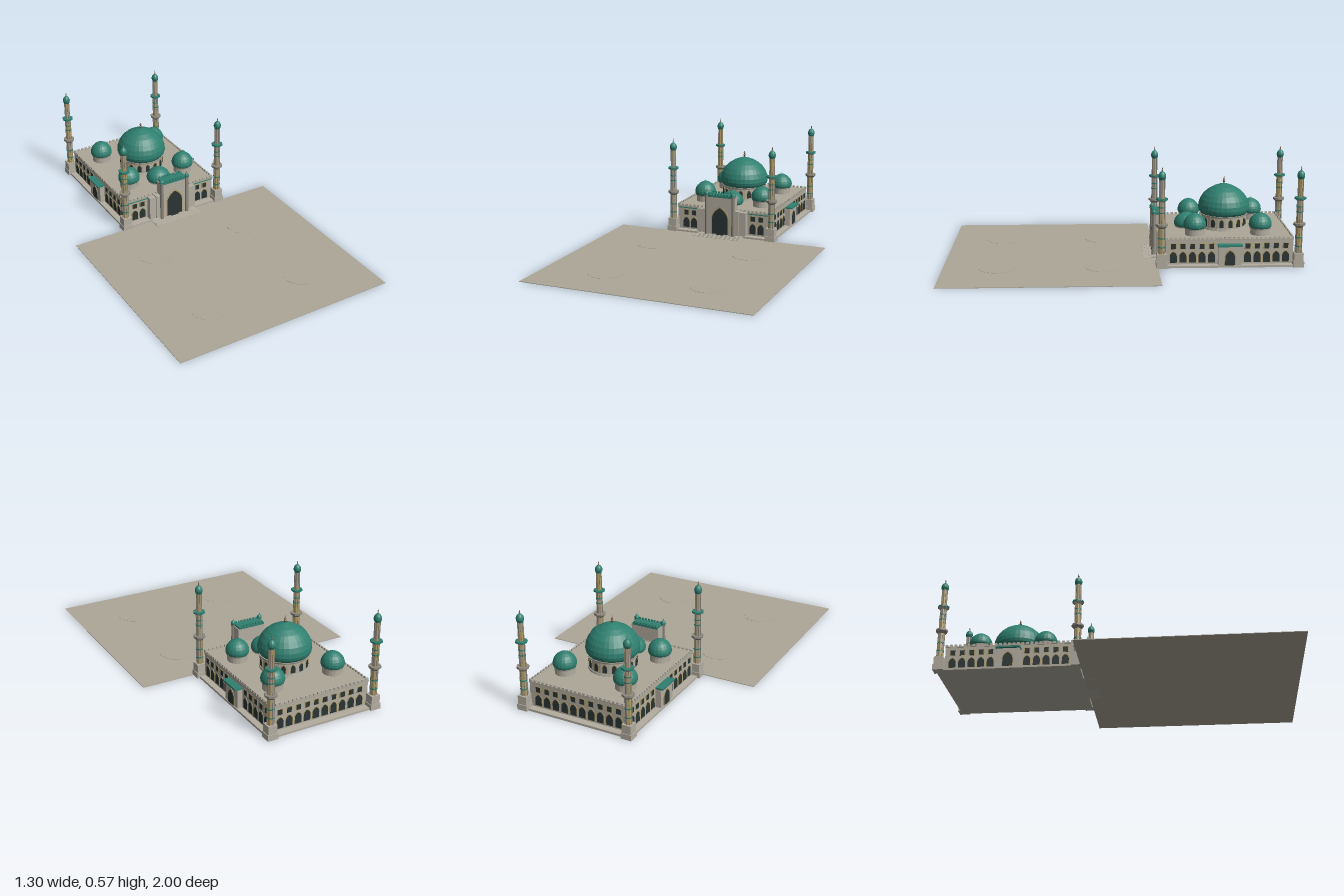
import * as THREE from 'three';
import { mergeGeometries } from 'three/addons/utils/BufferGeometryUtils.js';

const mat = (name, color) => {
  const m = new THREE.MeshStandardMaterial({ color });
  m.name = name;
  return m;
};

export function createModel() {
  const model = new THREE.Group();
  const paving = mat('paving stone', 0xaca798);
  const stone = mat('wall stone', 0xb4aea1);
  const grey = mat('grey stone', 0x8f8a80);
  const green = mat('green tile', 0x2f8070);
  const gold = mat('sandy gold', 0xb39e66);
  const dark = mat('dark glass', 0x2b3533);
  const bronze = mat('bronze', 0x7d5f45);

  const MID = -0.59; // z of the building centre
  const add = (name, geo, material, x = 0, y = 0, z = 0, parent = model) => {
    const m = new THREE.Mesh(geo, material);
    m.name = name;
    m.position.set(x, y, z);
    parent.add(m);
    return m;
  };
  // box given by its base height
  const box = (name, material, w, h, d, x, y, z, parent) =>
    add(name, new THREE.BoxGeometry(w, h, d), material, x, y + h / 2, z, parent);
  const cyl = (name, material, r1, r2, y0, y1, n, x, z, parent) =>
    add(name, facet(new THREE.CylinderGeometry(r1, r2, y1 - y0, n)), material, x, (y0 + y1) / 2, z, parent);
  function facet(g) {
    const f = g.toNonIndexed();
    f.computeVertexNormals();
    return f;
  }
  const lathe = (pts, n) => facet(new THREE.LatheGeometry(pts.map(p => new THREE.Vector2(p[0], p[1])), n));

  // onion dome of radius r and height h, plus a bronze finial
  function dome(name, x, y, z, r, h, n, finial, parent) {
    const rel = [[0.9, 0], [0.97, 0.08], [1, 0.18], [0.985, 0.32], [0.92, 0.48], [0.8, 0.64],
      [0.62, 0.78], [0.4, 0.89], [0.18, 0.96], [0, 1]];
    add(name, lathe(rel.map(p => [p[0] * r, p[1] * h]), n), green, x, y, z, parent);
    const f = finial;
    add(name + 'Finial', lathe([[f * 0.12, -f * 0.15], [f * 0.09, f * 0.1], [f * 0.2, f * 0.25], [f * 0.08, f * 0.4],
      [f * 0.14, f * 0.55], [f * 0.05, f * 0.7], [0, f]], 8), bronze, x, y + h, z, parent);
  }

  // pointed arch outline
  function archShape(w, h, spring) {
    const a = w / 2, s = h * spring, c = s + (h - s) * 0.65, shape = new THREE.Shape();
    shape.moveTo(-a, 0);
    shape.lineTo(a, 0);
    shape.lineTo(a, s);
    shape.quadraticCurveTo(a * 0.9, c, 0, h);
    shape.quadraticCurveTo(-a * 0.9, c, -a, s);
    shape.closePath();
    return shape;
  }
  const plate = (shape, depth) => new THREE.ExtrudeGeometry(shape, { depth, bevelEnabled: false, curveSegments: 5 });
  // arched opening: gold surround with a dark plate in front
  function arch(name, w, h, x, y, z, turn, frame = 0.004, spring = 0.6) {
    const g = new THREE.Group();
    g.name = name;
    g.position.set(x, y, z);
    g.rotation.y = turn;
    if (frame) add('surround', plate(archShape(w + frame * 2, h + frame * 1.5, spring), 0.002), gold, 0, 0, 0, g);
    add('opening', plate(archShape(w, h, spring), 0.0035), dark, 0, 0, 0, g);
    model.add(g);
  }

  // plaza with four low round platforms
  box('plaza', paving, 1.3, 0.003, 1.19, 0, 0, 0.405);
  for (const x of [-0.3, 0.3]) for (const z of [0.11, 0.7])
    cyl('plazaDisc', paving, 0.1, 0.1, 0.001, 0.0042, 32, x, z);

  // main hall
  box('plinth', stone, 0.66, 0.012, 0.79, 0, 0, MID);
  box('hallWalls', stone, 0.59, 0.143, 0.71, 0, 0.01, MID);
  box('roof', paving, 0.596, 0.006, 0.716, 0, 0.149, MID);

  // battlements round the roof edge
  const merlons = [];
  const merlon = (x, z, w, d) => merlons.push(new THREE.BoxGeometry(w, 0.012, d).translate(x, 0.16, z));
  for (let i = 0; i < 24; i++) for (const s of [-1, 1])
    merlon(-0.2875 + i * 0.025, MID + s * 0.354, 0.014, 0.007);
  for (let i = 0; i < 29; i++) for (const s of [-1, 1])
    merlon(s * 0.294, MID - 0.35 + i * 0.025, 0.007, 0.014);
  add('battlements', mergeGeometries(merlons), stone);

  // wall bays: an arch below and a framed window above
  function bay(x, z, turn) {
    arch('wallArch', 0.038, 0.062, x, 0.022, z, turn, 0.003);
    const g = new THREE.Group();
    g.name = 'upperWindow';
    g.position.set(x, 0.1, z);
    g.rotation.y = turn;
    box('windowFrame', gold, 0.034, 0.034, 0.004, 0, -0.002, 0, g);
    box('windowPane', dark, 0.026, 0.029, 0.007, 0, 0, 0, g);
    model.add(g);
  }
  for (let i = 0; i < 10; i++) bay((i - 4.5) * 0.054, MID - 0.355, Math.PI);
  for (const s of [-1, 1]) {
    for (const x of [0.19, 0.24]) bay(s * x, MID + 0.355, 0);
    for (const side of [-1, 1]) for (let i = 0; i < 5; i++)
      bay(side * 0.295, MID + s * (0.101 + i * 0.053), side * Math.PI / 2);
    box('frontFrieze', green, 0.14, 0.005, 0.005, s * 0.225, 0.14, MID + 0.355);

    // side porch with tiled canopy
    box('sidePorch', stone, 0.032, 0.112, 0.13, s * 0.309, 0.01, MID);
    box('sideCanopy', green, 0.045, 0.009, 0.136, s * 0.317, 0.12, MID);
    arch('sideDoor', 0.055, 0.082, s * 0.325, 0.013, MID, s * Math.PI / 2, 0.005, 0.55);
  }

  // front portal
  box('portalWings', stone, 0.31, 0.146, 0.04, 0, 0.008, -0.222);
  box('portalShoulders', stone, 0.23, 0.152, 0.05, 0, 0.008, -0.22);
  box('portalBlock', stone, 0.17, 0.232, 0.06, 0, 0.01, -0.211);
  box('portalRoof', green, 0.158, 0.012, 0.068, 0, 0.24, -0.209);
  for (let i = 0; i < 8; i++) for (const z of [-0.178, -0.24])
    box('portalMerlon', green, 0.01, 0.01, 0.005, (i - 3.5) * 0.019, 0.252, z);
  arch('mainDoor', 0.1, 0.16, 0, 0.016, -0.181, 0, 0.006, 0.58);
  box('doorSill', dark, 0.05, 0.012, 0.008, 0, 0.01, -0.178);
  for (const s of [-1, 1]) {
    cyl('portalColumn', grey, 0.011, 0.012, 0.004, 0.25, 8, s * 0.085, -0.181);
    cyl('columnCap', grey, 0.015, 0.013, 0.243, 0.251, 8, s * 0.085, -0.181);
    dome('columnDome', s * 0.085, 0.251, -0.181, 0.014, 0.024, 10, 0.014);
  }
  for (let i = 0; i < 4; i++)
    box('step', stone, 0.3 - i * 0.012, 0.005 + i * 0.002, 0.07 - i * 0.015, 0, 0, -0.16 - i * 0.0075);

  // central dome on its drum
  cyl('drum', stone, 0.13, 0.13, 0.15, 0.235, 32, 0, MID);
  cyl('drumRim', stone, 0.138, 0.134, 0.228, 0.238, 32, 0, MID);
  cyl('drumFoot', stone, 0.134, 0.136, 0.154, 0.166, 32, 0, MID);
  for (let i = 0; i < 16; i++) {
    const a = (i + 0.5) * Math.PI / 8;
    arch('drumWindow', 0.024, 0.046, Math.sin(a) * 0.129, 0.174, MID + Math.cos(a) * 0.129, a, 0.003);
  }
  dome('mainDome', 0, 0.237, MID, 0.147, 0.173, 32, 0.043);

  // small domes
  for (const [x, z] of [[-0.185, -0.775], [0.185, -0.775], [-0.185, -0.405], [0.185, -0.405]]) {
    cyl('smallDrum', stone, 0.055, 0.055, 0.15, 0.194, 20, x, z);
    cyl('smallDrumRim', stone, 0.06, 0.058, 0.187, 0.195, 20, x, z);
    dome('smallDome', x, 0.194, z, 0.065, 0.086, 20, 0.006);
  }
  cyl('frontDrum', stone, 0.066, 0.066, 0.15, 0.162, 20, 0, -0.375);
  dome('frontDome', 0, 0.16, -0.375, 0.072, 0.082, 20, 0.006);

  // corner minarets
  function minaret(x, z) {
    const g = new THREE.Group();
    g.name = 'minaret';
    g.position.set(x, 0, z);
    model.add(g);
    const ring = (name, m, r, y0, y1, r2 = r) => cyl(name, m, r, r2, y0, y1, 8, 0, 0, g);
    box('minaretFoot', stone, 0.06, 0.032, 0.06, 0, 0, 0, g);
    box('minaretBase', stone, 0.052, 0.05, 0.052, 0, 0.03, 0, g);
    ring('lowerShaft', gold, 0.018, 0.08, 0.24);
    ring('middleShaft', gold, 0.0165, 0.24, 0.39);
    ring('upperShaft', gold, 0.0145, 0.39, 0.505);
    // slim corner ribs
    for (let i = 0; i < 8; i++) {
      const a = i * Math.PI / 4, s = Math.sin(a), c = Math.cos(a);
      for (const [r, y0, y1] of [[0.018, 0.08, 0.24], [0.0165, 0.25, 0.385], [0.0145, 0.395, 0.5]])
        box('shaftRib', grey, 0.004, y1 - y0, 0.004, s * r, y0, c * r, g).rotation.y = a;
    }
    for (const [y, r] of [[0.115, 0.021], [0.165, 0.021], [0.31, 0.02], [0.34, 0.019]])
      ring('tileBand', green, r, y, y + 0.006);
    ring('balconyCorbel', grey, 0.032, 0.225, 0.238, 0.02);
    ring('balcony', grey, 0.034, 0.238, 0.249);
    ring('upperCorbel', stone, 0.03, 0.375, 0.385, 0.018);
    ring('upperBalcony', green, 0.033, 0.385, 0.394);
    ring('crownRing', green, 0.021, 0.497, 0.508, 0.016);
    dome('minaretDome', 0, 0.508, 0, 0.0215, 0.038, 12, 0.024, g);
  }
  for (const x of [-0.314, 0.314]) for (const z of [-0.97, -0.21]) minaret(x, z);

  return model;
}
